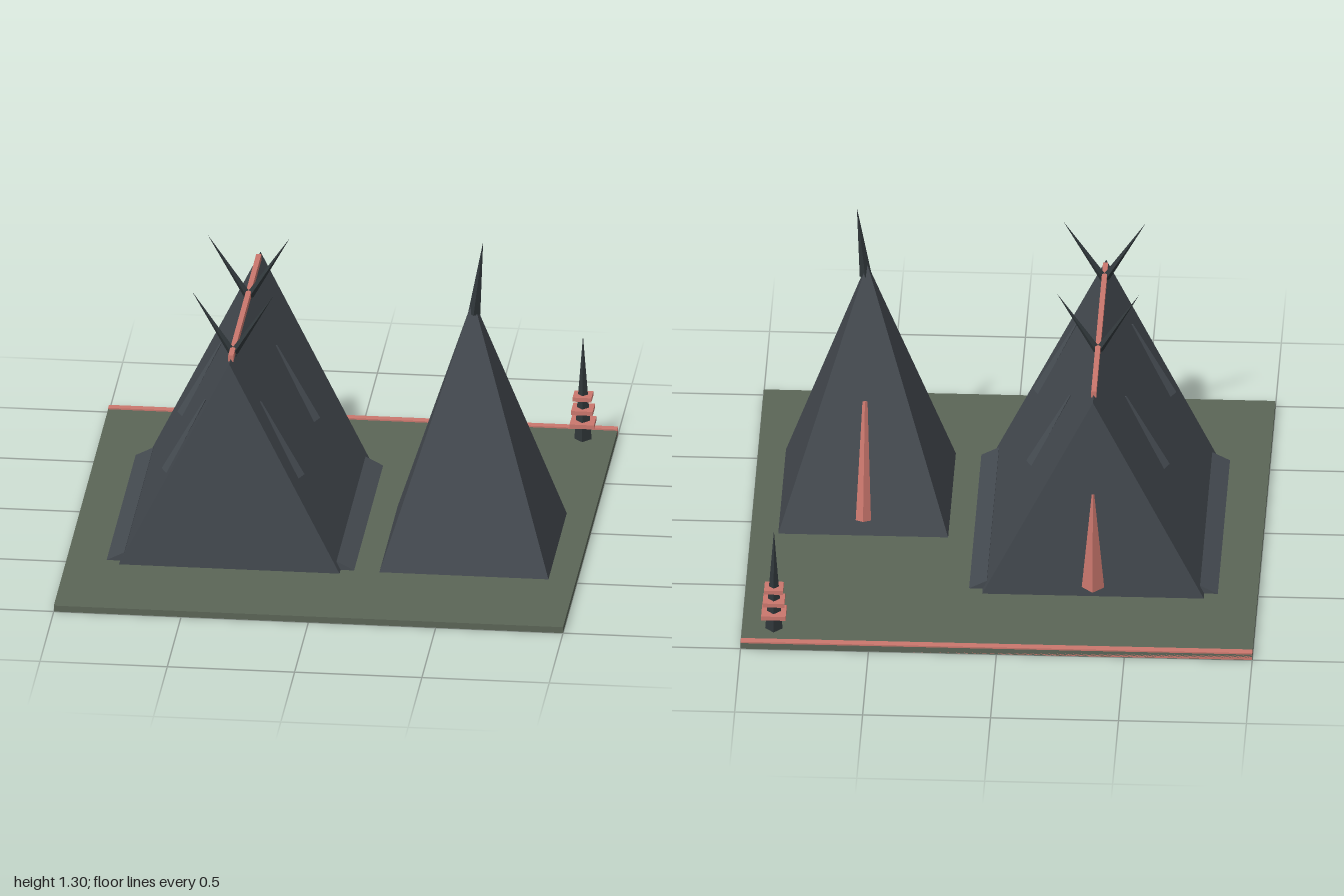
import * as THREE from 'three';

export function createModel() {
  const model = new THREE.Group();
  const mat = (name, color) => {
    const m = new THREE.MeshStandardMaterial({ color, flatShading: true });
    m.name = name;
    return m;
  };
  const moss = mat('moss ground', 0x5b6557);
  const slate = mat('slate cloth', 0x444a50);
  const dark = mat('dark spike', 0x30373a);
  const coral = mat('coral trim', 0xca776d);

  const add = (name, geometry, material, parent = model) => {
    const mesh = new THREE.Mesh(geometry, material);
    mesh.name = name;
    parent.add(mesh);
    return mesh;
  };
  const box = (name, w, h, d, x, y, z, material, parent) => {
    const mesh = add(name, new THREE.BoxGeometry(w, h, d), material, parent);
    mesh.position.set(x, y, z);
    return mesh;
  };
  // Four-sided spike running from its base point to its tip
  const spike = (name, from, to, baseR, tipR, material, parent) => {
    const a = new THREE.Vector3(...from);
    const b = new THREE.Vector3(...to);
    const dir = b.clone().sub(a);
    const mesh = add(name, new THREE.CylinderGeometry(tipR, baseR, dir.length(), 4), material, parent);
    mesh.position.copy(a).add(b).multiplyScalar(0.5);
    mesh.quaternion.setFromUnitVectors(new THREE.Vector3(0, 1, 0), dir.normalize());
    return mesh;
  };
  // Cross-section in x and y, extruded along z
  const prism = (name, points, z0, z1, parent) => {
    const shape = new THREE.Shape(points.map(p => new THREE.Vector2(...p)));
    const geometry = new THREE.ExtrudeGeometry(shape, { depth: z1 - z0, bevelEnabled: false });
    geometry.translate(0, 0, z0);
    return add(name, geometry, slate, parent);
  };

  // Ground slab with a coloured back border
  const top = 0.025;
  box('ground', 2, top, 2, 0, top / 2, 0, moss);
  box('backBorder', 2, 0.03, 0.03, 0, 0.016, -0.985, coral);

  // Long ridge tent
  const tent = new THREE.Group();
  tent.name = 'ridgeTent';
  tent.position.x = -0.358;
  model.add(tent);
  prism('tentBody', [[-0.433, top], [0.433, top], [0, 0.893]], -0.568, 0.563, tent);
  box('ridgeBeam', 0.02, 0.027, 1.015, 0, 0.896, 0.003, coral, tent);
  for (const s of [-1, 1]) {
    prism('groundFlap', [[s * 0.4, top], [s * 0.486, top], [s * 0.47, 0.033], [s * 0.417, 0.06]], -0.528, 0.525, tent);
    for (const z of [-0.14, 0.427]) {
      spike('crossedHorn', [-s * 0.006, 0.872, z], [s * 0.161, 1.138, z], 0.017, 0, dark, tent);
      spike('roofSpike', [s * 0.258, 0.372, z], [s * 0.108, 0.682, z], 0.025, 0.004, slate, tent);
    }
  }
  spike('tentDoor', [0, 0.065, -0.567], [0, 0.482, -0.567], 0.045, 0.006, coral, tent);

  // Tall square tent
  const tall = new THREE.Group();
  tall.name = 'tallTent';
  tall.position.set(0.56, 0, 0.2);
  model.add(tall);
  const body = add('tallTentBody', new THREE.ConeGeometry(0.332 * Math.SQRT2, 1.035, 4), slate, tall);
  body.rotation.y = Math.PI / 4;
  body.position.y = top + 1.035 / 2;
  spike('tallTentTip', [0.005, 1.0, 0.005], [0.04, 1.305, 0.005], 0.024, 0, dark, tall);
  spike('tallTentDoor', [0, 0.085, -0.318], [0, 0.538, -0.175], 0.03, 0.01, coral, tall);

  // Corner marker: a spike with stacked square collars
  const marker = new THREE.Group();
  marker.name = 'marker';
  marker.position.set(0.875, 0, -0.877);
  model.add(marker);
  spike('markerSpike', [0, top, 0], [0, 0.463, 0], 0.034, 0, dark, marker);
  [0.095, 0.15, 0.205].forEach((y, i) => {
    const w = 0.096 - i * 0.011;
    box('markerCollar', w, 0.017, w, 0, y, 0, coral, marker);
  });

  return model;
}
